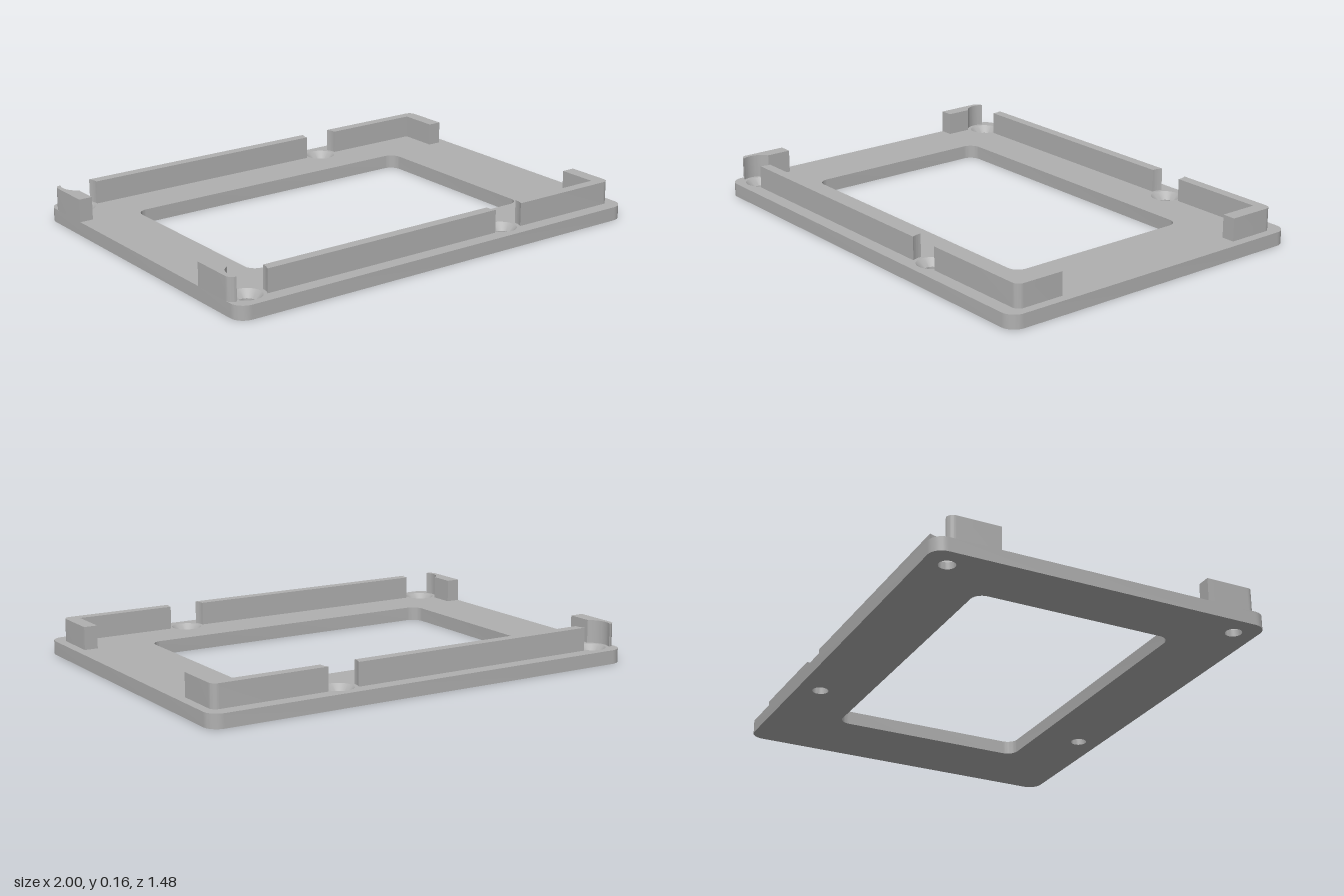
import * as THREE from 'three';
import { toCreasedNormals } from 'three/addons/utils/BufferGeometryUtils.js';

const BASE = 0.06, TOP = 0.16;                 // plate thickness, rim height
const BORE = 0.035, SINK = 0.065, CLEAR = 0.08; // screw hole radii
const HOLE_X = [-0.9, 0.38], HOLE_Z = 0.64;
const OUT = 0.68, IN = 0.635, LEG_END = 0.46;   // rim limits in depth

// points along an arc, angles in radians
function arc(cx, cy, r, a0, a1, n = 12) {
  return Array.from({ length: n + 1 }, (_, i) => {
    const a = a0 + (a1 - a0) * i / n;
    return new THREE.Vector2(cx + r * Math.cos(a), cy + r * Math.sin(a));
  });
}

function roundedRect(x0, x1, z, r) {
  const q = Math.PI / 2;
  return [
    ...arc(x1 - r, z - r, r, 0, q), ...arc(x0 + r, z - r, r, q, 2 * q),
    ...arc(x0 + r, r - z, r, 2 * q, 3 * q), ...arc(x1 - r, r - z, r, 3 * q, 4 * q),
  ];
}

export function createModel() {
  const model = new THREE.Group();
  const grey = new THREE.MeshStandardMaterial({ color: 0xb0b0b0 });
  grey.name = 'grey';
  const add = (name, geometry, parent = model) => {
    const mesh = new THREE.Mesh(toCreasedNormals(geometry, 0.5), grey);
    mesh.name = name;
    parent.add(mesh);
    return mesh;
  };

  // Base plate: top and bottom faces with differing hole sizes, plus the edges
  const plate = new THREE.Group();
  plate.name = 'basePlate';
  model.add(plate);
  const plateShape = (holeRadius) => {
    const shape = new THREE.Shape(roundedRect(-1, 1, 0.74, 0.06));
    shape.holes.push(new THREE.Path(roundedRect(-0.74, 0.66, 0.44, 0.05)));
    if (holeRadius) {
      for (const x of HOLE_X) for (const z of [-HOLE_Z, HOLE_Z]) {
        shape.holes.push(new THREE.Path(arc(x, z, holeRadius, 0, Math.PI * 2, 32).slice(0, -1)));
      }
    }
    return shape;
  };
  add('plateTop', new THREE.ShapeGeometry(plateShape(SINK)).rotateX(-Math.PI / 2).translate(0, BASE, 0), plate);
  add('plateBottom', new THREE.ShapeGeometry(plateShape(BORE)).rotateX(Math.PI / 2), plate);

  // keep only the side walls of the extrusion
  const solid = new THREE.ExtrudeGeometry(plateShape(0), { depth: BASE, bevelEnabled: false });
  const sides = solid.groups[1];
  const edges = new THREE.BufferGeometry();
  edges.setAttribute('position', new THREE.BufferAttribute(
    solid.attributes.position.array.slice(sides.start * 3, (sides.start + sides.count) * 3), 3));
  add('plateEdges', edges.rotateX(-Math.PI / 2), plate);

  // Countersunk screw holes
  const holeProfile = [[SINK, BASE], [BORE, BASE - 0.03], [BORE, 0]].map(p => new THREE.Vector2(...p));
  for (const x of HOLE_X) for (const z of [-HOLE_Z, HOLE_Z]) {
    add('screwHole', new THREE.LatheGeometry(holeProfile, 32)).position.set(x, 0, z);
  }

  // Rim walls, mirrored front to back, cut away around the screw holes
  const up = Math.asin((OUT - HOLE_Z) / CLEAR), down = Math.asin((IN - HOLE_Z) / CLEAR);
  const v = (x, z) => new THREE.Vector2(x, z);
  const [hx0, hx1] = HOLE_X;
  const legCut = Math.acos((-0.94 - hx0) / CLEAR); // where the left leg meets its clearance
  const outlines = {
    longWall: [
      ...arc(hx0, HOLE_Z, CLEAR, up, down),
      ...arc(hx1, HOLE_Z, CLEAR, Math.PI - down, Math.PI - up),
    ],
    cornerWall: [
      ...arc(hx1, HOLE_Z, CLEAR, up, down),
      v(0.9, IN), v(0.9, LEG_END), v(0.96, LEG_END),
      ...arc(0.93, OUT - 0.03, 0.03, 0, Math.PI / 2),
    ],
    hookWall: [
      v(-1, LEG_END), v(-0.94, LEG_END),
      ...arc(hx0, HOLE_Z, CLEAR, 2 * Math.PI - legCut, Math.PI - up, 18),
      ...arc(-0.97, OUT - 0.03, 0.03, Math.PI / 2, Math.PI),
    ],
  };
  for (const [name, points] of Object.entries(outlines)) {
    for (const [side, s] of [['back', 1], ['front', -1]]) {
      const shape = new THREE.Shape(points.map(p => v(p.x, p.y * s)));
      const wall = new THREE.ExtrudeGeometry(shape, { depth: TOP - BASE, bevelEnabled: false });
      add(`${side} ${name}`, wall.rotateX(-Math.PI / 2).translate(0, BASE, 0));
    }
  }
  return model;
}
